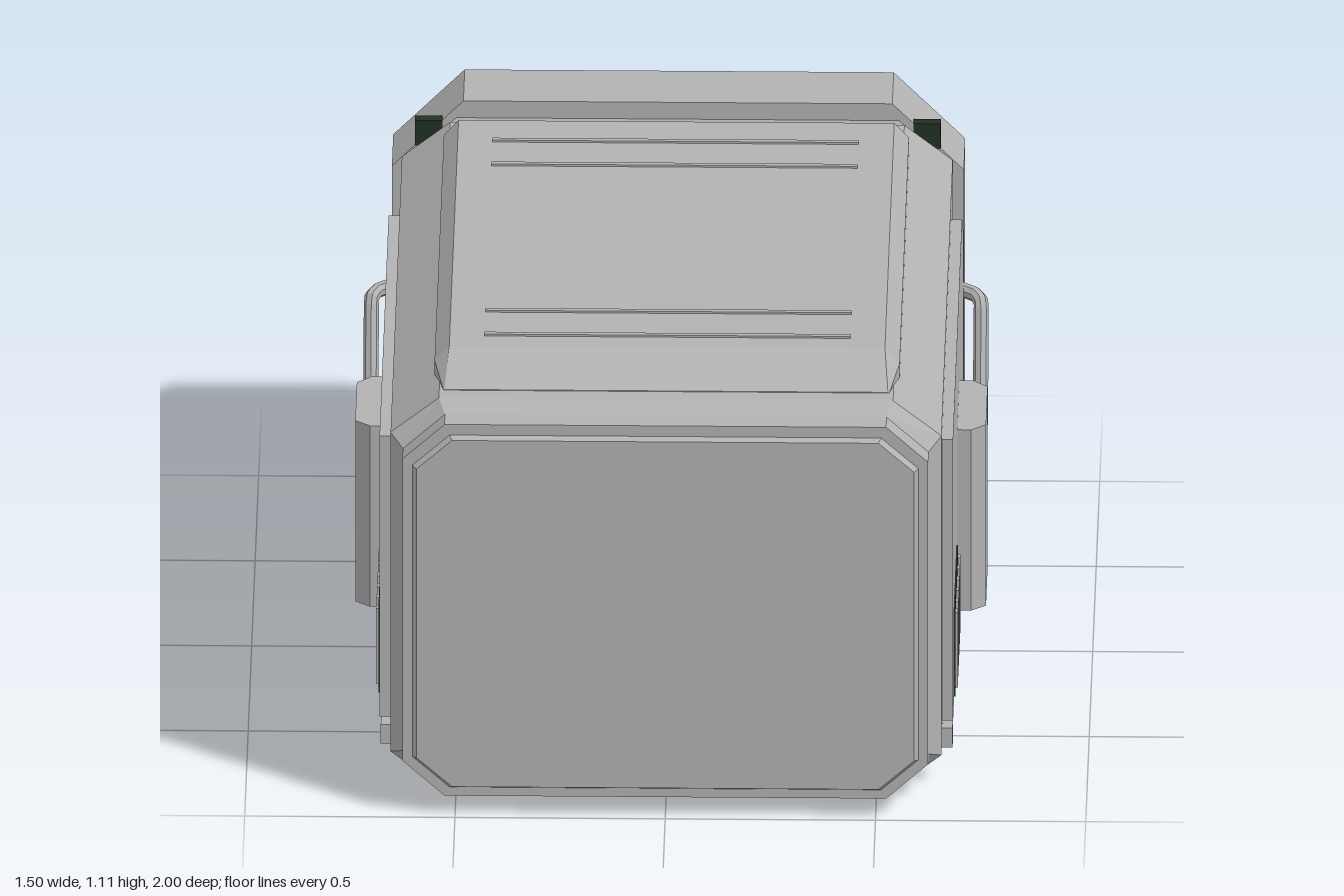
import * as THREE from 'three';

const hull = new THREE.MeshStandardMaterial({ color: 0xb2b2b2 });
hull.name = 'light grey';
hull.flatShading = true;
const dark = new THREE.MeshStandardMaterial({ color: 0x223024 });
dark.name = 'dark green';
dark.flatShading = true;

// Chamfered rectangle, counter-clockwise seen from the front
function octagon(hx, y0, y1, cx, cy) {
  return [
    [hx, y0 + cy], [hx, y1 - cy], [hx - cx, y1], [cx - hx, y1],
    [-hx, y1 - cy], [-hx, y0 + cy], [cx - hx, y0], [hx - cx, y0],
  ];
}

// Skin over rings of points, ordered from back to front, with both ends closed
function loft(rings) {
  const pos = [];
  const tri = (a, b, c) => pos.push(...a, ...b, ...c);
  const loops = rings.map(([z, pts]) => pts.map(([x, y]) => [x, y, z]));
  const n = loops[0].length;
  for (let r = 0; r < loops.length - 1; r++) {
    const a = loops[r], b = loops[r + 1];
    for (let i = 0; i < n; i++) {
      const j = (i + 1) % n;
      tri(a[i], a[j], b[j]);
      tri(a[i], b[j], b[i]);
    }
  }
  const back = loops[0], front = loops[loops.length - 1];
  for (let i = 1; i < n - 1; i++) {
    tri(back[0], back[i + 1], back[i]);
    tri(front[0], front[i], front[i + 1]);
  }
  const g = new THREE.BufferGeometry();
  g.setAttribute('position', new THREE.Float32BufferAttribute(pos, 3));
  g.computeVertexNormals();
  return g;
}

const toShape = (pts) => new THREE.Shape(pts.map(([x, y]) => new THREE.Vector2(x, y)));

function extrude(shape, depth) {
  return new THREE.ExtrudeGeometry(shape, { depth, bevelEnabled: false });
}

function add(parent, name, geometry, material, x = 0, y = 0, z = 0) {
  const mesh = new THREE.Mesh(geometry, material);
  mesh.name = name;
  mesh.position.set(x, y, z);
  parent.add(mesh);
  return mesh;
}

// Box given by its minimum and maximum corners
function addBox(parent, name, material, [x0, y0, z0], [x1, y1, z1]) {
  const g = new THREE.BoxGeometry(x1 - x0, y1 - y0, z1 - z0);
  return add(parent, name, g, material, (x0 + x1) / 2, (y0 + y1) / 2, (z0 + z1) / 2);
}

// Everything mounted on the +x wall
function createSide() {
  const side = new THREE.Group();

  // Raised panel with one cut corner
  const panel = extrude(toShape([
    [-0.84, 0.19], [0.675, 0.19], [0.675, 0.785], [0.455, 0.92], [-0.84, 0.92],
  ]), 0.04);
  panel.rotateY(Math.PI / 2);
  add(side, 'sidePanel', panel, hull, 0.642);

  // Chamfered control box
  const box = extrude(toShape([
    [0.67, -0.25], [0.715, -0.25], [0.75, -0.22], [0.75, 0.005], [0.715, 0.04], [0.67, 0.04],
  ]), 0.47);
  box.rotateX(-Math.PI / 2);
  add(side, 'sideBox', box, hull, 0, 0.215);

  // Bent pipe running from the box back into the panel
  const path = new THREE.CurvePath();
  const bends = [
    [0.725, 0.39, 0], [0.725, 0.39, -0.48], [0.725, 0.645, -0.59],
    [0.715, 0.655, -0.61], [0.67, 0.655, -0.65],
  ].map((p) => new THREE.Vector3(...p));
  for (let i = 0; i < bends.length - 1; i++) path.add(new THREE.LineCurve3(bends[i], bends[i + 1]));
  add(side, 'pipe', new THREE.TubeGeometry(path, 60, 0.018, 8, false), hull);

  // Vent: dark plate with pale slats
  addBox(side, 'ventPlate', dark, [0.678, 0.215, 0.375], [0.686, 0.44, 0.755]);
  for (let i = 0; i < 6; i++) {
    const z = 0.405 + i * 0.064;
    addBox(side, 'ventSlat', hull, [0.68, 0.23, z - 0.011], [0.692, 0.425, z + 0.011]);
  }

  // Row of lugs along the lower edge
  for (let i = 0; i < 5; i++) {
    const z = 0.77 - i * 0.3;
    addBox(side, 'lug', hull, [0.62, 0.1, z - 0.025], [0.68, 0.15, z + 0.025]);
  }

  // Dark clips at the collar corners
  addBox(side, 'upperClip', dark, [0.56, 0.945, -0.84], [0.625, 1.01, -0.812]);
  addBox(side, 'lowerClip', dark, [0.56, 0.05, -0.84], [0.625, 0.115, -0.812]);
  return side;
}

export function createModel() {
  const model = new THREE.Group();
  model.name = 'containerModule';

  // Main body with narrowed ends
  const wide = octagon(0.655, 0.03, 1.04, 0.115, 0.09);
  const narrow = octagon(0.625, 0.05, 1.015, 0.1, 0.09);
  add(model, 'body', loft([
    [-0.82, narrow], [-0.735, wide], [0.885, wide], [0.925, narrow], [0.985, narrow],
  ]), hull);

  // Front plate
  add(model, 'frontPlate', loft([
    [0.98, octagon(0.605, 0.07, 0.99, 0.09, 0.08)],
    [1.0, octagon(0.592, 0.08, 0.98, 0.085, 0.075)],
  ]), hull);

  // Raised roof section, sloping down at both ends
  const roof = (w, y, inset, shoulder) => [
    [w, 1.025], [w, shoulder], [w - inset, y], [inset - w, y], [-w, shoulder], [-w, 1.025],
  ];
  add(model, 'roof', loft([
    [-0.72, roof(0.47, 1.042, 0.003, 1.04)],
    [-0.6, roof(0.553, 1.105, 0.035, 1.067)],
    [0.725, roof(0.553, 1.105, 0.035, 1.067)],
    [0.84, roof(0.53, 1.042, 0.003, 1.04)],
  ]), hull);
  for (const z of [0.66, 0.52, -0.34, -0.48]) {
    addBox(model, 'roofRib', hull, [-0.435, 1.1, z - 0.007], [0.435, 1.11, z + 0.007]);
  }

  // Open rear collar
  const ring = toShape(octagon(0.68, 0, 1.06, 0.17, 0.17));
  ring.holes.push(toShape(octagon(0.61, 0.07, 0.99, 0.14, 0.14)));
  add(model, 'rearCollar', extrude(ring, 0.185), hull, 0, 0, -1);

  // Dark rear plate with staggered round bosses
  const plate = extrude(toShape(octagon(0.612, 0.068, 0.992, 0.14, 0.14)), 0.035);
  add(model, 'rearPlate', plate, dark, 0, 0, -0.852);
  const boss = new THREE.CylinderGeometry(0.09, 0.1, 0.025, 20);
  boss.rotateX(-Math.PI / 2);
  for (let col = 0; col < 4; col++) {
    for (let row = 0; row < 3; row++) {
      const y = 0.24 + row * 0.27 + (col % 2) * 0.05;
      add(model, 'rearBoss', boss, dark, -0.43 + col * 0.287, y, -0.86);
    }
  }

  // Matching fittings on both walls
  const left = createSide();
  left.name = 'leftFittings';
  const right = createSide();
  right.name = 'rightFittings';
  right.scale.x = -1;
  model.add(left, right);

  return model;
}
